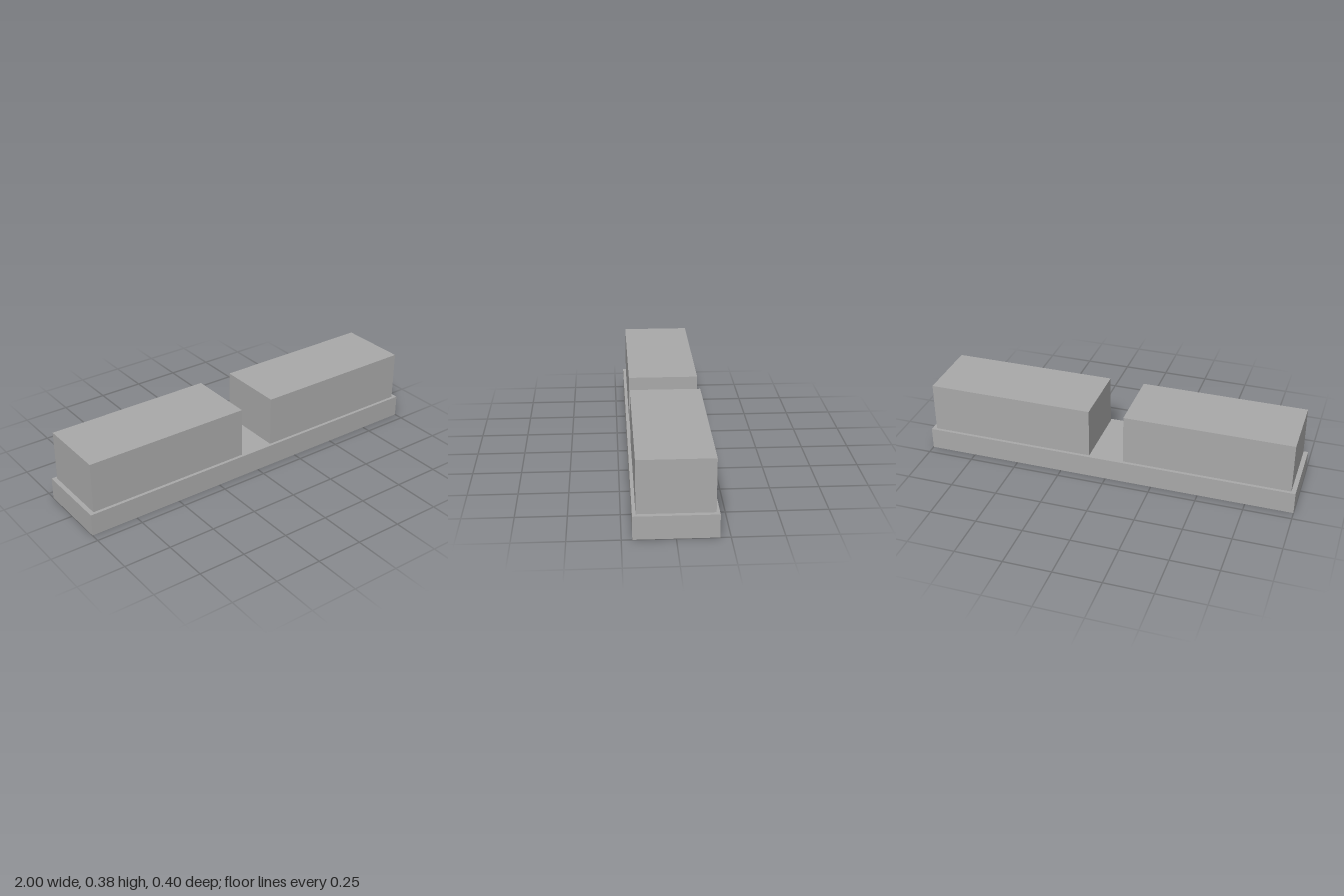
import * as THREE from 'three';

export function createModel() {
  const model = new THREE.Group();
  const grey = new THREE.MeshStandardMaterial({ color: 0xaaaaaa });
  grey.name = 'grey';

  // Box standing on a given height
  function addBox(name, width, height, depth, x, bottom) {
    const mesh = new THREE.Mesh(new THREE.BoxGeometry(width, height, depth), grey);
    mesh.name = name;
    mesh.position.set(x, bottom + height / 2, 0);
    model.add(mesh);
  }

  // Long plinth
  const baseHeight = 0.117;
  addBox('base', 2, baseHeight, 0.4, 0, 0);

  // Mirrored pair of blocks with a gap between them
  for (const side of [-1, 1]) {
    addBox(side > 0 ? 'leftBlock' : 'rightBlock', 0.883, 0.267, 0.367, side * 0.535, baseHeight);
  }

  return model;
}
